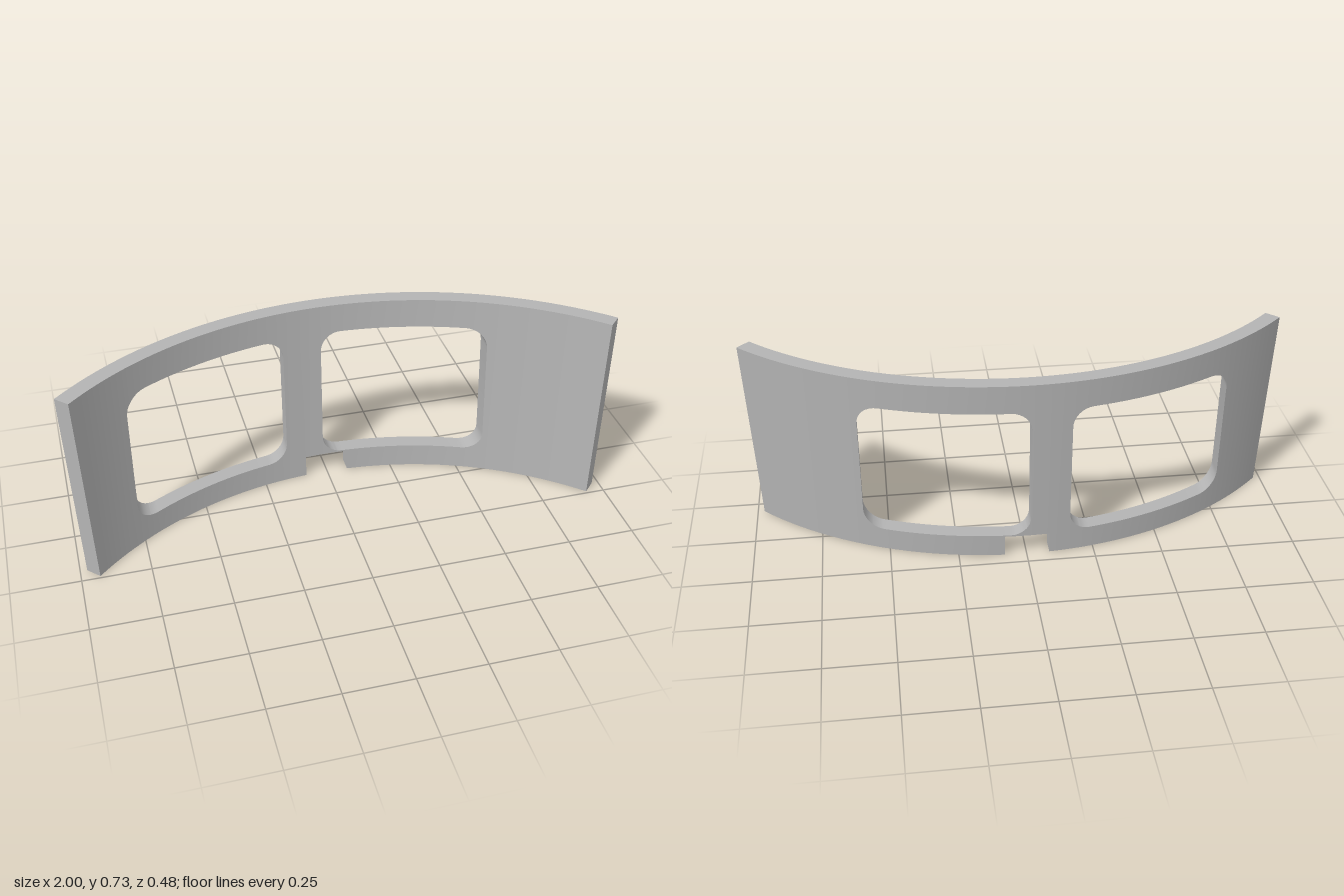
import * as THREE from 'three';
import { toCreasedNormals } from 'three/addons/utils/BufferGeometryUtils.js';

const H = 0.728, THICK = 0.06, CENTRE_Z = 1.187;
const SIN_END = 0.702;           // sine of the half angle of the arc
const FLAT = 0.8;                // beyond this the columns fan out to the radial ends
const R = 0.075;                 // window corner radius
const windows = [[-0.765, -0.16], [-0.015, 0.59]];
const Y0 = 0.089, Y1 = 0.618;    // window bottom and top
const notch = { x0: -0.085, x1: 0.08, top: 0.084 };

// point on the slightly conical shell; inner side faces +z
function point(s, y, inner) {
  const radius = 1.389 + 0.036 * y / H - (inner ? THICK : 0);
  const a = Math.abs(s);
  const x = a <= FLAT ? s
    : Math.sign(s) * THREE.MathUtils.lerp(FLAT, radius * SIN_END, (a - FLAT) / (1 - FLAT));
  return [x, y, CENTRE_Z - Math.sqrt(radius * radius - x * x)];
}

// how far the rounded corner eats into the window at s
function inset(s, [x0, x1]) {
  const d = Math.max(0, Math.min(s - x0, x1 - s));
  return d >= R ? 0 : R - Math.sqrt(R * R - (R - d) ** 2);
}

function buildPanel() {
  // column positions: even steps plus corner arcs and cut edges
  const set = new Set([notch.x0, notch.x1]);
  for (let i = -25; i <= 25; i++) set.add(+(i / 25).toFixed(4));
  for (const [x0, x1] of windows) {
    for (let k = 0; k <= 8; k++) {
      const d = R * (1 - Math.cos(k * Math.PI / 16));
      set.add(+(x0 + d).toFixed(4));
      set.add(+(x1 - d).toFixed(4));
    }
  }
  const cols = [...set].sort((a, b) => a - b);

  const pos = [];
  const quad = (a, b, c, d) => pos.push(...a, ...b, ...c, ...a, ...c, ...d);

  // one solid strip between two columns
  function strip(s0, s1, lo0, lo1, hi0, hi1) {
    const [a, b, c, d] = [[s0, lo0], [s1, lo1], [s1, hi1], [s0, hi0]].map(([s, y]) => point(s, y, true));
    const [e, f, g, h] = [[s0, lo0], [s1, lo1], [s1, hi1], [s0, hi0]].map(([s, y]) => point(s, y, false));
    quad(a, b, c, d);
    quad(f, e, h, g);
    quad(d, c, g, h);
    quad(e, f, b, a);
  }

  for (let i = 0; i < cols.length - 1; i++) {
    const s0 = cols[i], s1 = cols[i + 1], mid = (s0 + s1) / 2;
    const base = mid > notch.x0 && mid < notch.x1 ? notch.top : 0;
    const win = windows.find(([x0, x1]) => mid > x0 && mid < x1);
    if (win) {
      const i0 = inset(s0, win), i1 = inset(s1, win);
      strip(s0, s1, base, base, Y0 + i0, Y0 + i1);
      strip(s0, s1, Y1 - i0, Y1 - i1, H, H);
    } else {
      strip(s0, s1, base, base, H, H);
    }
  }

  // upright walls of the ends, windows and notch
  function wall(s, lo, hi, facesRight) {
    const a = point(s, lo, true), b = point(s, lo, false);
    const c = point(s, hi, false), d = point(s, hi, true);
    if (facesRight) quad(a, b, c, d);
    else quad(b, a, d, c);
  }
  wall(1, 0, H, true);
  wall(-1, 0, H, false);
  for (const [x0, x1] of windows) {
    wall(x0, Y0 + R, Y1 - R, true);
    wall(x1, Y0 + R, Y1 - R, false);
  }
  wall(notch.x0, 0, notch.top, true);
  wall(notch.x1, 0, notch.top, false);

  const geometry = new THREE.BufferGeometry();
  geometry.setAttribute('position', new THREE.Float32BufferAttribute(pos, 3));
  return toCreasedNormals(geometry, Math.PI / 6);
}

export function createModel() {
  const grey = new THREE.MeshStandardMaterial({ color: 0xb4b4b4 });
  grey.name = 'grey';
  const panel = new THREE.Mesh(buildPanel(), grey);
  panel.name = 'curvedWindowPanel';
  const model = new THREE.Group();
  model.name = 'curvedWindowFrame';
  model.add(panel);
  return model;
}
